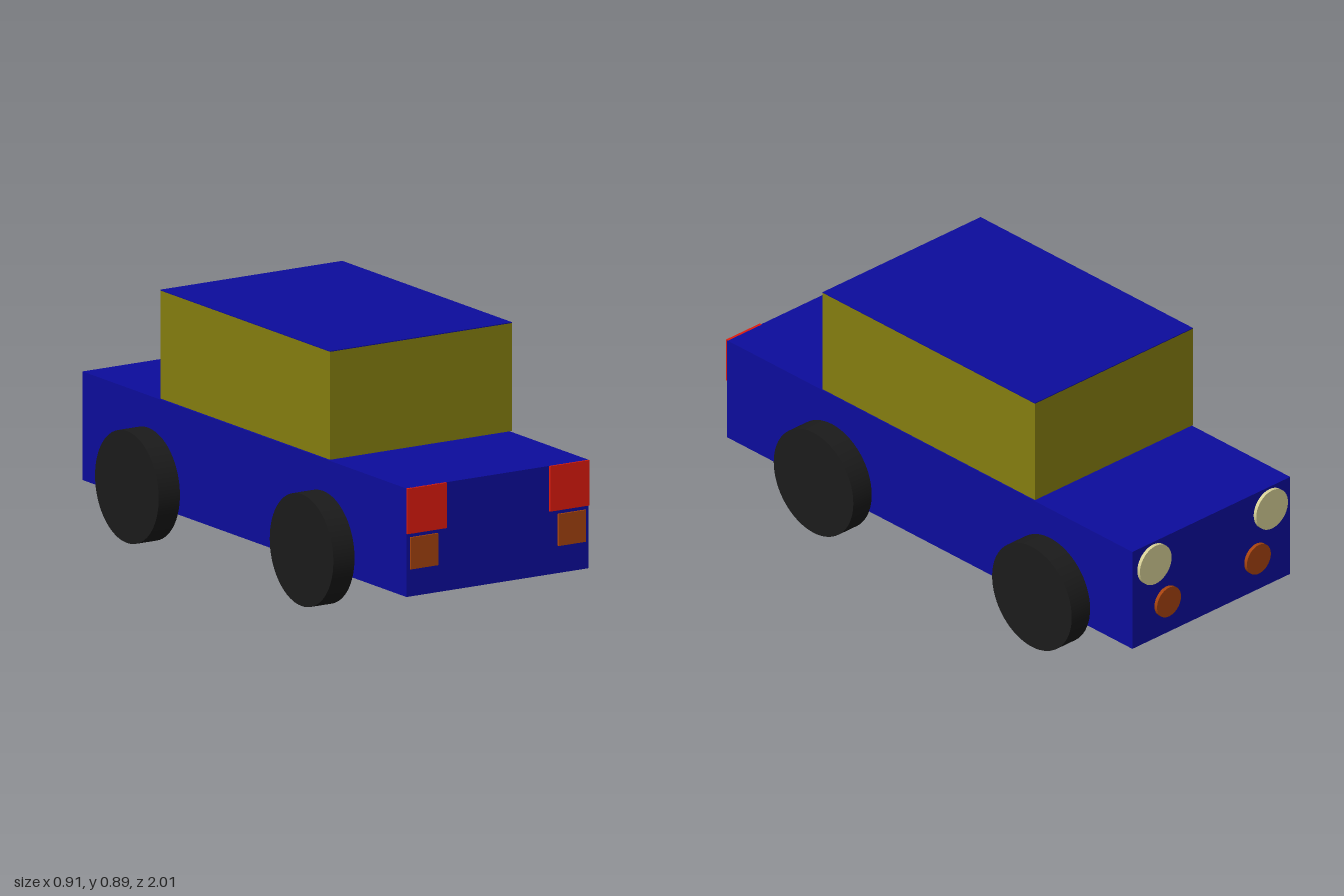
import * as THREE from 'three';

const mat = (color) => new THREE.MeshStandardMaterial({ color });

export function createModel() {
  const car = new THREE.Group();
  car.name = 'car';

  const blue = mat(0x0c0c9c);
  const olive = mat(0x857e0f);
  const black = mat(0x1b1b1b);
  const red = mat(0xde1b0e);
  const orange = mat(0xa6430f);
  const cream = mat(0xd6cf96);

  const add = (name, geometry, material, x, y, z) => {
    const mesh = new THREE.Mesh(geometry, material);
    mesh.name = name;
    mesh.position.set(x, y, z);
    car.add(mesh);
    return mesh;
  };

  // Body, cabin and thin roof skin
  add('body', new THREE.BoxGeometry(0.738, 0.378, 1.985), blue, 0, 0.314, 0.0055);
  add('cabin', new THREE.BoxGeometry(0.738, 0.376, 1.04), olive, 0, 0.695, 0.01);
  add('roof', new THREE.BoxGeometry(0.738, 0.003, 1.04), blue, 0, 0.8845, 0.01);

  const wheel = new THREE.CylinderGeometry(0.195, 0.195, 0.086, 64).rotateZ(Math.PI / 2);
  const lamp = (radius) => new THREE.CylinderGeometry(radius, radius, 0.013, 40).rotateX(Math.PI / 2);
  const bigLamp = lamp(0.074);
  const smallLamp = lamp(0.056);

  for (const [side, s] of [['left', 1], ['right', -1]]) {
    // Wheels sit against the outside of the body
    add(side + 'FrontWheel', wheel, black, s * 0.412, 0.195, 0.485);
    add(side + 'BackWheel', wheel, black, s * 0.412, 0.195, -0.585);

    // Square lamps on the +z end
    add(side + 'SquareLamp', new THREE.BoxGeometry(0.159, 0.158, 0.01), red, s * 0.2895, 0.424, 0.995);
    add(side + 'SquareIndicator', new THREE.BoxGeometry(0.111, 0.111, 0.01), orange, s * 0.3, 0.276, 0.995);

    // Round lamps on the -z end
    add(side + 'RoundLamp', bigLamp, cream, s * 0.272, 0.42, -0.9935);
    add(side + 'RoundIndicator', smallLamp, orange, s * 0.21, 0.25, -0.9935);
  }

  // Lift the square lamps just proud of the body
  car.children.forEach((part) => {
    if (part.name.includes('Square')) part.position.z += 0.005;
  });

  return car;
}
